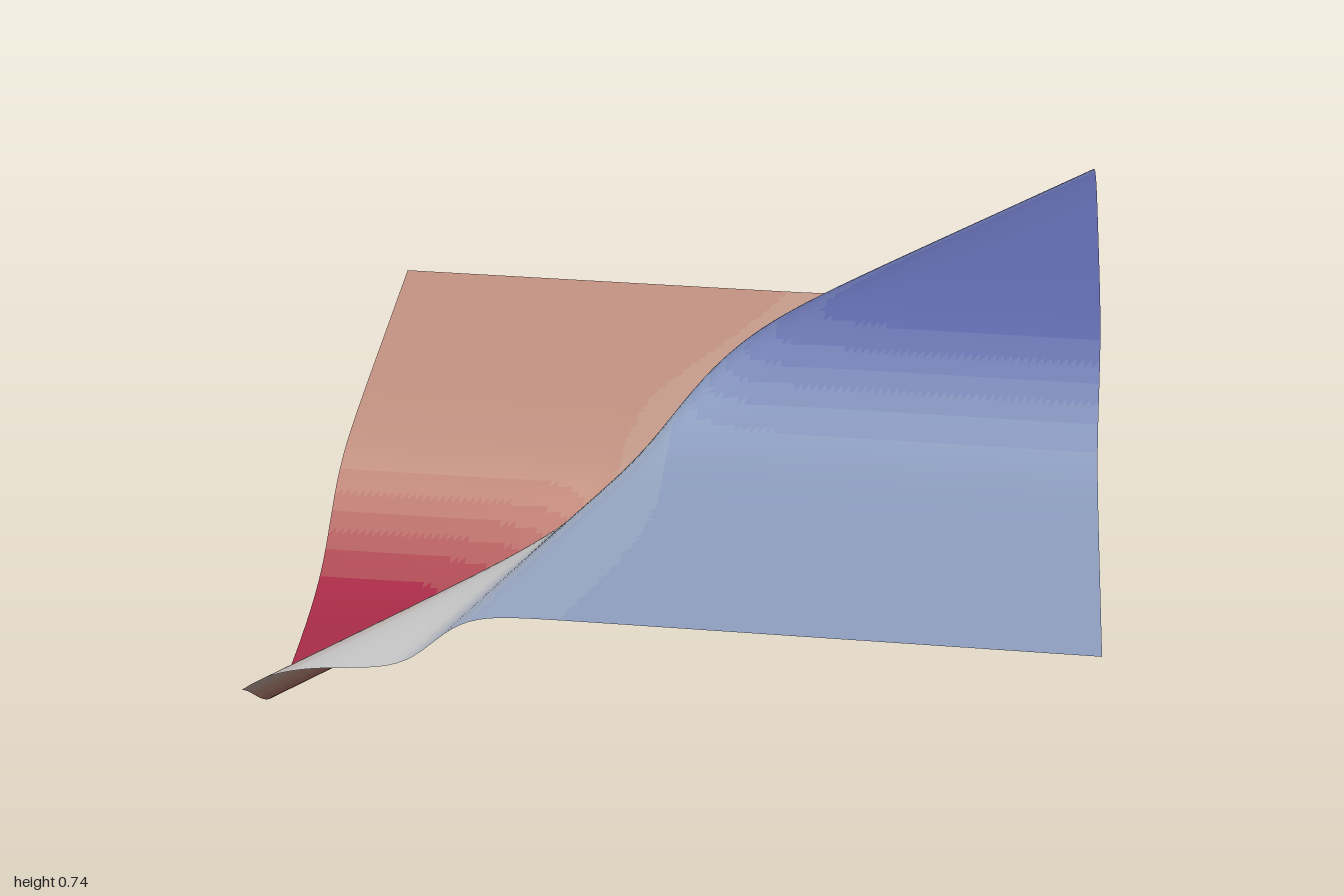
import * as THREE from 'three';

const SEGMENTS = 100, BANDS = 28, TOP = 0.745;
const smoothStep = (t) => 1 / (1 + Math.exp(-t));

// Height is the sum of three smooth steps that cross near the middle
function height(x, z) {
  const cross = 0.186 * smoothStep((0.105 - z) / 0.083);
  const wide = 0.373 * smoothStep((x + z + 0.085) / 0.08);
  const narrow = 0.186 * smoothStep((x + 0.49 * z + 0.04) / 0.045);
  return cross + wide + narrow;
}

// Colour ramp from low (crimson) to high (indigo)
const ramp = [0xa8083f, 0xc99a88, 0xcccccc, 0x93a4c4, 0x5a62a8].map((c) => new THREE.Color(c));
function rampColor(t) {
  const s = Math.min(Math.max(t, 0), 0.9999) * (ramp.length - 1);
  const i = Math.floor(s);
  return ramp[i].clone().lerp(ramp[i + 1], s - i);
}

export function createModel() {
  const group = new THREE.Group();
  group.name = 'steppedSurface';

  // Square sheet lifted to the height rule, with smooth normals throughout
  const sheet = new THREE.PlaneGeometry(2, 2, SEGMENTS, SEGMENTS).rotateX(-Math.PI / 2);
  const pos = sheet.attributes.position;
  for (let i = 0; i < pos.count; i++) pos.setY(i, height(pos.getX(i), pos.getZ(i)));
  sheet.computeVertexNormals();

  // Sort the triangles into height bands
  const bands = Array.from({ length: BANDS }, () => []);
  const index = sheet.index.array;
  for (let i = 0; i < index.length; i += 3) {
    const tri = [index[i], index[i + 1], index[i + 2]];
    const mean = tri.reduce((sum, v) => sum + pos.getY(v), 0) / 3;
    const b = Math.min(BANDS - 1, Math.max(0, Math.floor((mean / TOP) * BANDS)));
    bands[b].push(...tri);
  }

  // One coloured mesh per band
  bands.forEach((triangles, b) => {
    if (!triangles.length) return;
    const part = sheet.clone();
    part.setIndex(triangles);
    const material = new THREE.MeshStandardMaterial({
      color: rampColor((b + 0.5) / BANDS),
      side: THREE.DoubleSide,
    });
    const mesh = new THREE.Mesh(part.toNonIndexed(), material);
    mesh.name = `heightBand${b + 1}`;
    group.add(mesh);
  });
  return group;
}
